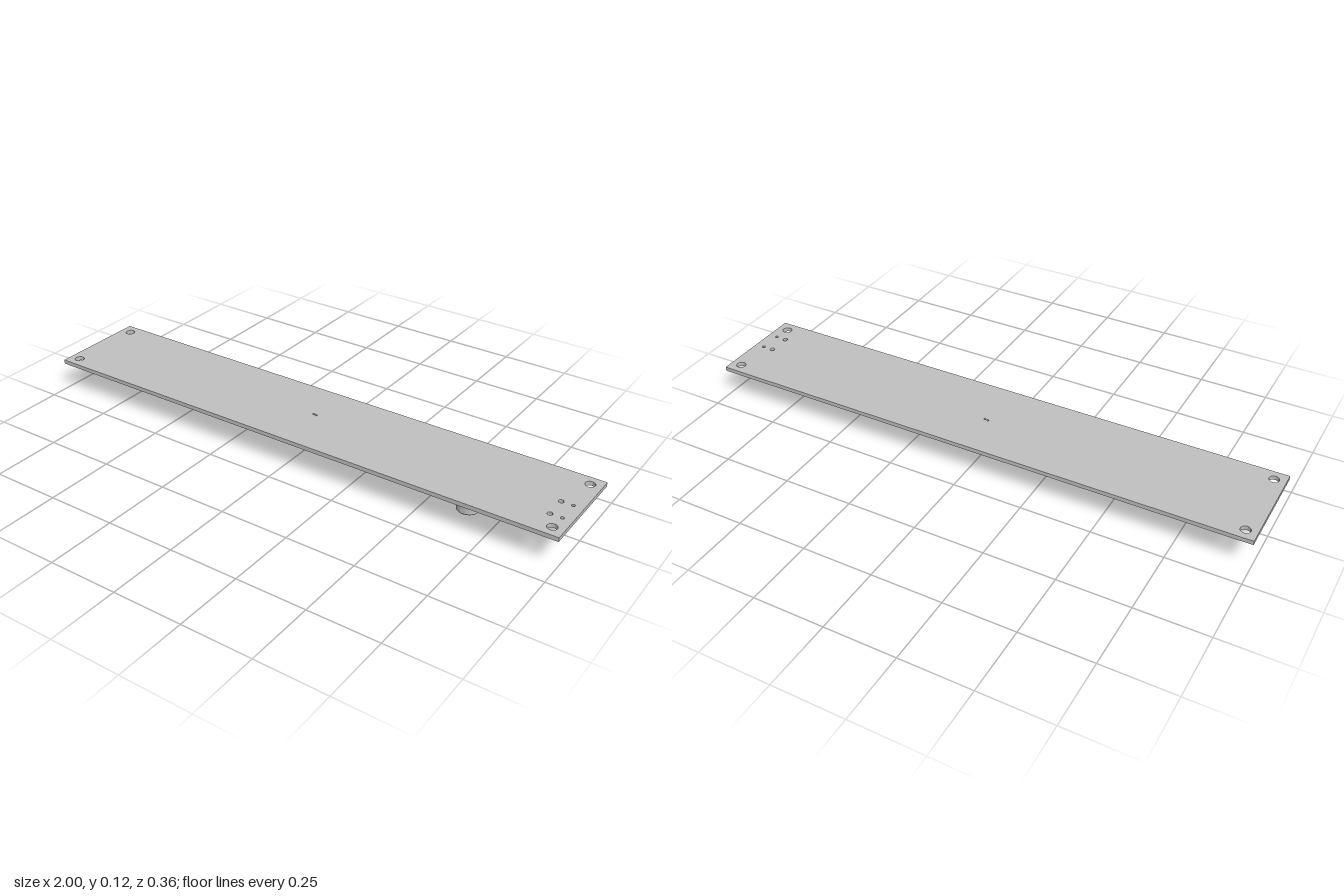
import * as THREE from 'three';
import { toCreasedNormals } from 'three/addons/utils/BufferGeometryUtils.js';

const BOTTOM = 0.102; // underside of the board

export function createModel() {
  const model = new THREE.Group();
  const grey = new THREE.MeshStandardMaterial({ color: 0xc0c0c0 });
  grey.name = 'light grey';

  const add = (name, geometry, x = 0, y = 0, z = 0, parent = model) => {
    const mesh = new THREE.Mesh(geometry, grey);
    mesh.name = name;
    mesh.position.set(x, y, z);
    parent.add(mesh);
    return mesh;
  };
  // box hanging from the underside
  const hang = (name, w, h, d, x, z, parent = model, top = BOTTOM) =>
    add(name, new THREE.BoxGeometry(w, h, d), x, top - h / 2, z, parent);
  const group = (name, x = 0, z = 0) => {
    const g = new THREE.Group();
    g.name = name;
    g.position.set(x, 0, z);
    model.add(g);
    return g;
  };
  // plate in x and z with round holes, extruded downward
  const plate = (points, holes, depth) => {
    const shape = new THREE.Shape(points.map(([x, z]) => new THREE.Vector2(x, z)));
    for (const [x, z, r] of holes) {
      shape.holes.push(new THREE.Path().absarc(x, z, r, 0, Math.PI * 2, true));
    }
    const g = new THREE.ExtrudeGeometry(shape, { depth, bevelEnabled: false, curveSegments: 20 });
    g.rotateX(Math.PI / 2);
    return toCreasedNormals(g, 0.6);
  };
  const rect = (w, d) => [[-w, -d], [w, -d], [w, d], [-w, d]];

  // circuit board with mounting, connector and via holes
  const holes = [
    [0.925, 0, 0.009], [0.965, 0, 0.006], [0.925, 0.08, 0.009], [0.965, 0.08, 0.006],
    [0, -0.014, 0.004], [0.012, -0.012, 0.004],
  ];
  for (const x of [-0.96, 0.96]) for (const z of [-0.14, 0.14]) holes.push([x, z, 0.017]);
  add('circuitBoard', plate(rect(1, 0.18), holes, 0.015), 0, 0.117, 0);

  // row of lamps with round recesses, and a small chip between neighbours
  const frame = plate(rect(0.025, 0.025), [[0, 0, 0.018]], 0.013);
  const pitch = 0.1155;
  for (let i = 0; i < 16; i++) {
    const x = (i - 7.5) * pitch;
    const lamp = group('lamp', x, -0.11);
    add('lampFrame', frame, 0, BOTTOM - 0.002, 0, lamp);
    hang('lampFloor', 0.046, 0.004, 0.046, 0, 0, lamp);
    for (const sx of [-1, 1]) for (const dz of [-0.016, 0.016]) {
      hang('lampLead', 0.006, 0.004, 0.009, sx * 0.026, dz, lamp);
    }
    if (i < 15) hang('lampCapacitor', 0.009, 0.006, 0.016, x + pitch / 2, -0.105);
  }

  // radio module: thin plate, shield can and edge pads
  const radio = group('radioModule', -0.005, 0.026);
  hang('modulePlate', 0.18, 0.008, 0.198, 0, 0, radio);
  hang('shieldCan', 0.158, 0.024, 0.128, 0, -0.028, radio, BOTTOM - 0.008);
  for (let i = 0; i < 9; i++) for (const s of [-1, 1]) {
    hang('edgePad', 0.006, 0.0088, 0.008, s * 0.088, -0.08 + i * 0.015, radio);
  }

  // round can capacitor on a base with two cut corners
  const can = group('canCapacitor', 0.636, 0.04);
  const b = 0.042, c = 0.016;
  add('canBase', plate([[-b, -b], [b - c, -b], [b, -b + c], [b, b - c], [b - c, b], [-b, b]], [], 0.012),
    0, BOTTOM, 0, can);
  const profile = [
    [0, 0], [0.037, 0], [0.0395, 0.003], [0.0395, 0.077], [0.037, 0.08],
    [0.037, 0.083], [0.0395, 0.086], [0.0395, 0.093], [0, 0.093],
  ].map(([r, y]) => new THREE.Vector2(r, y));
  add('canBody', toCreasedNormals(new THREE.LatheGeometry(profile, 40), 0.6), 0, 0, 0, can);
  for (const s of [-1, 1]) hang('canLead', 0.014, 0.004, 0.01, s * 0.046, 0, can);

  // small three-legged chips
  for (const [x, z] of [[0.24, 0.035], [-0.18, 0.1], [-0.756, 0.009]]) {
    const chip = group('smallChip', x, z);
    hang('chipBody', 0.016, 0.011, 0.028, 0, 0, chip, BOTTOM - 0.002);
    for (const [lx, lz] of [[-0.01, -0.009], [-0.01, 0.009], [0.01, 0]]) {
      hang('chipLeg', 0.008, 0.005, 0.005, lx, lz, chip);
    }
  }

  // scattered resistors and capacitors
  const scatter = [
    [0.293, 0.031], [0.189, 0.03], [-0.174, 0.043], [-0.206, -0.007], [-0.242, 0],
    [-0.214, 0.046], [-0.652, 0.046], [-0.833, 0.005], [0.859, 0.04], [0.873, -0.02],
    [0.82, 0.117], [0.83, 0],
  ];
  for (const [x, z] of scatter) {
    const part = group('resistor', x, z);
    hang('resistorBody', 0.009, 0.005, 0.012, 0, 0, part);
    for (const s of [-1, 1]) hang('resistorCap', 0.01, 0.006, 0.004, 0, s * 0.007, part);
  }

  return model;
}
